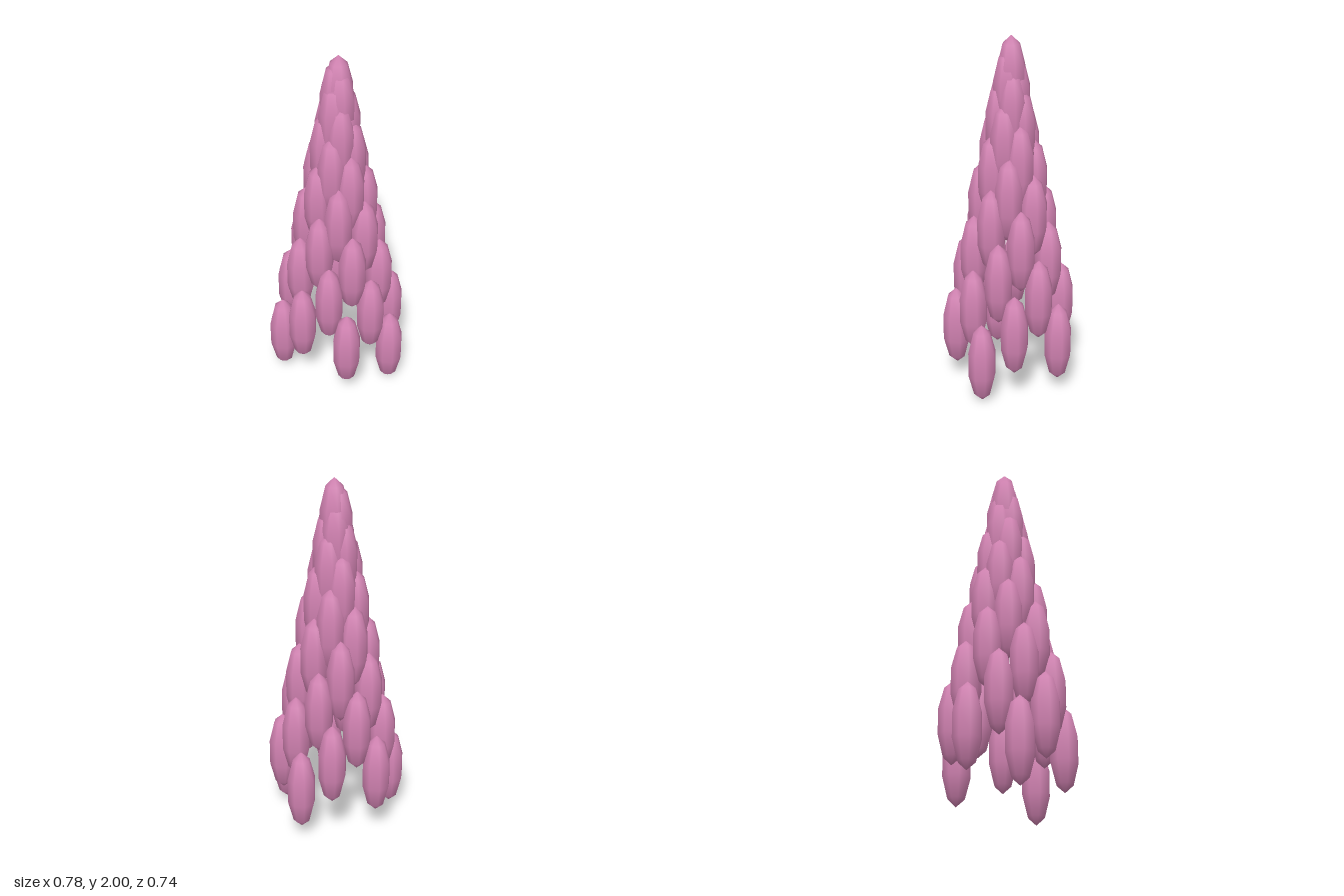
import * as THREE from 'three';

// Cone-shaped flower cluster: elongated buds on a golden-angle spiral.
export function createModel() {
  const model = new THREE.Group();
  model.name = 'flowerCluster';

  const count = 45;
  const goldenAngle = THREE.MathUtils.degToRad(137.5);
  const baseRadius = 0.33;
  const halfHeight = 0.235;
  const axisX = -0.017, axisZ = 0.019;

  // One low-sided, smooth bud shared by the whole cluster
  const budGeometry = new THREE.SphereGeometry(1, 8, 5);
  budGeometry.scale(0.081, halfHeight, 0.081);
  const material = new THREE.MeshStandardMaterial({ color: 0xd484b4 });

  // Buds climb evenly while the spiral tightens to the tip
  for (let i = 0; i < count; i++) {
    const radius = baseRadius * (1 - i / count);
    const angle = i * goldenAngle;
    const y = halfHeight + (2 - 2 * halfHeight) * i / (count - 1);
    const bud = new THREE.Mesh(budGeometry, material);
    bud.name = `bud${i + 1}`;
    bud.position.set(axisX + radius * Math.cos(angle), y, axisZ + radius * Math.sin(angle));
    model.add(bud);
  }
  return model;
}
